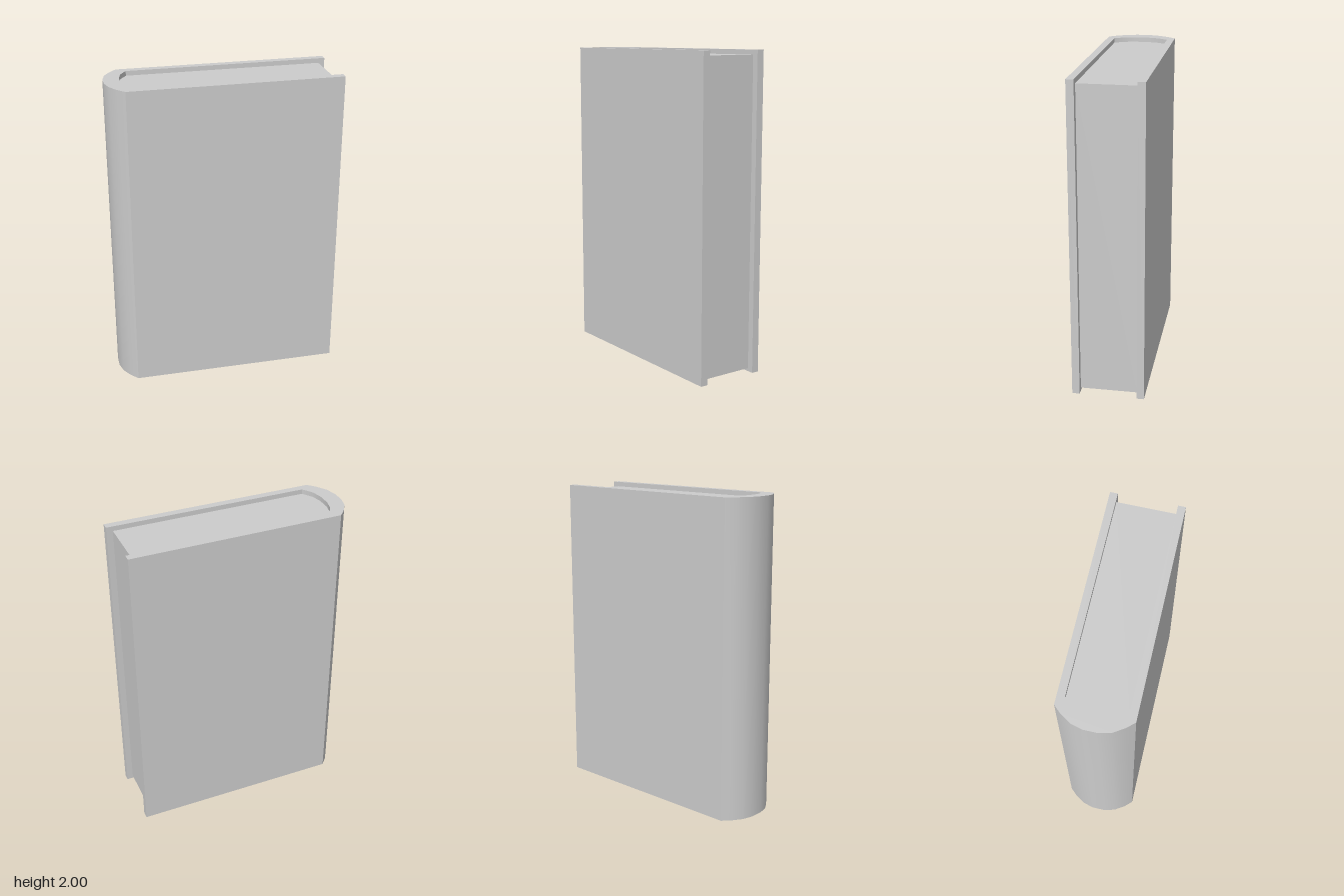
import * as THREE from 'three';
import { toCreasedNormals } from 'three/addons/utils/BufferGeometryUtils.js';

// Rounded spine curves, from the cover edge to the middle: [x, z]
const OUTER = [[-0.62, 0.227], [-0.663, 0.18], [-0.704, 0.115], [-0.723, 0.042]];
const INNER = [[-0.563, 0.18], [-0.606, 0.115], [-0.623, 0.042]];

// Continue a half curve across to the opposite side
const mirrored = (half) => [...half, ...half.slice().reverse().map(([x, z]) => [x, -z])];

// Extrude a plan outline upwards from y0 to y1
function upright(name, points, y0, y1) {
  const shape = new THREE.Shape(points.map(([x, z]) => new THREE.Vector2(x, z)));
  const extruded = new THREE.ExtrudeGeometry(shape, { depth: y1 - y0, bevelEnabled: false });
  extruded.rotateX(-Math.PI / 2).translate(0, y0, 0);
  const mesh = new THREE.Mesh(
    toCreasedNormals(extruded, 0.6),
    new THREE.MeshStandardMaterial({ color: 0xcccccc })
  );
  mesh.name = name;
  return mesh;
}

export function createModel() {
  const book = new THREE.Group();
  book.name = 'book';
  const outer = mirrored(OUTER);
  const inner = mirrored(INNER);

  // Cover: both boards and the thick curved spine in one U-shaped outline
  const cover = [
    [0.723, 0.227], ...outer, [0.723, -0.227],
    [0.723, -0.18], ...inner.slice().reverse(), [0.723, 0.18],
  ];
  book.add(upright('cover', cover, 0, 2));

  // Page block: fills the cover, set back at the top, bottom and fore edge
  const pages = [[0.683, 0.18], ...inner, [0.683, -0.18]];
  book.add(upright('pageBlock', pages, 0.02, 1.97));

  return book;
}
